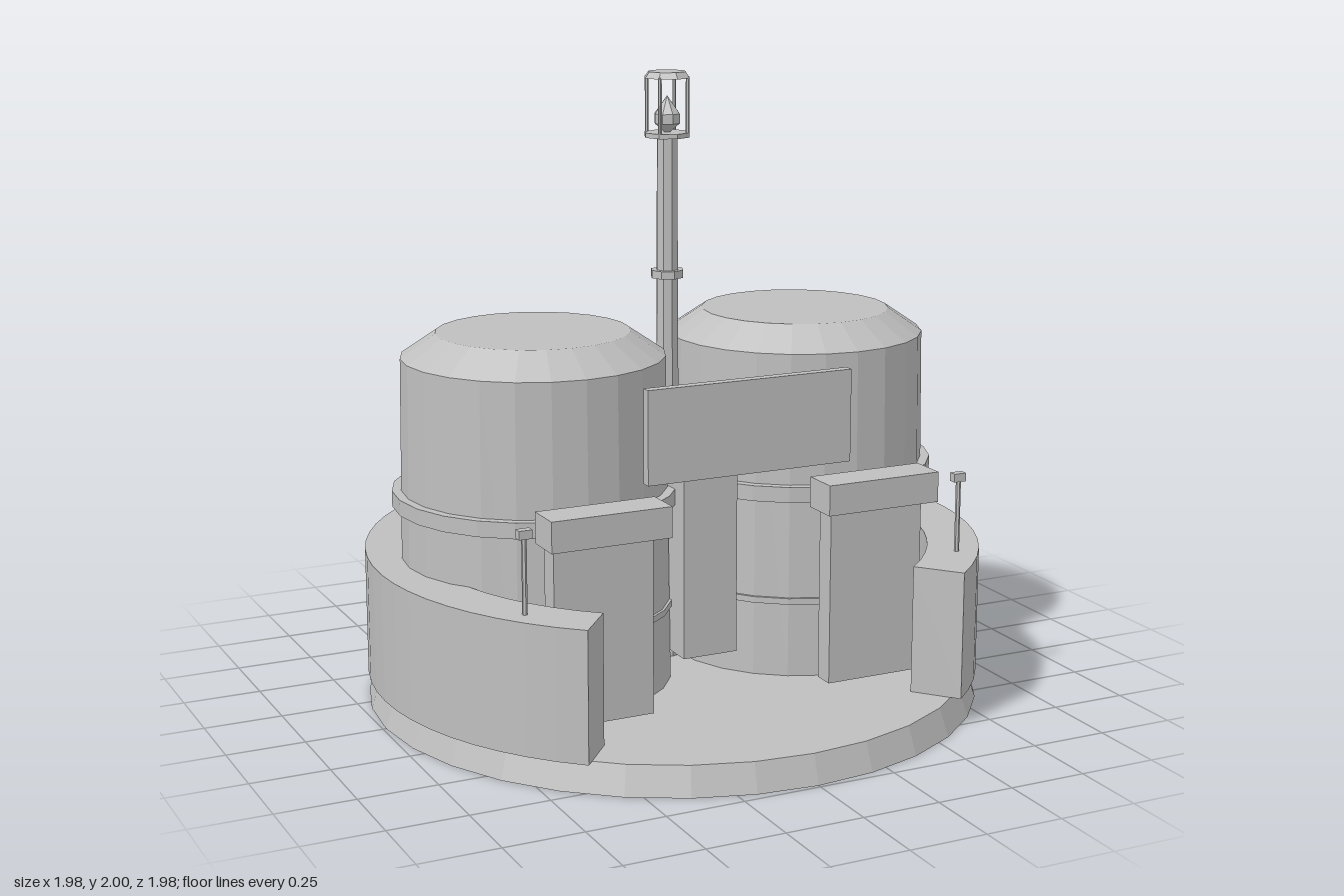
import * as THREE from 'three';

export function createModel() {
  const model = new THREE.Group();
  model.name = 'harbourStation';
  const grey = new THREE.MeshStandardMaterial({ color: 0xbfbfbf });
  grey.name = 'plain grey';
  grey.flatShading = true;
  grey.side = THREE.DoubleSide;

  const add = (name, geometry, x = 0, y = 0, z = 0, parent = model) => {
    const mesh = new THREE.Mesh(geometry, grey);
    mesh.name = name;
    mesh.position.set(x, y, z);
    parent.add(mesh);
    return mesh;
  };
  // Box given by its limits on each axis
  const box = (name, [x0, x1], [y0, y1], [z0, z1], parent = model) =>
    add(name, new THREE.BoxGeometry(x1 - x0, y1 - y0, z1 - z0),
      (x0 + x1) / 2, (y0 + y1) / 2, (z0 + z1) / 2, parent);
  // Turned part from [radius, height] pairs
  const turned = (name, profile, sides, x, z, parent = model) =>
    add(name, new THREE.LatheGeometry(profile.map(([r, y]) => new THREE.Vector2(r, y)), sides), x, 0, z, parent);

  // Flared base, open underneath
  turned('base', [[0.99, 0], [0.96, 0.09], [0, 0.09]], 32, 0, 0);

  // Ring wall with an opening at the front
  const gap = THREE.MathUtils.degToRad(39.8);
  const start = -Math.PI / 2 + gap, end = Math.PI * 1.5 - gap;
  const ring = new THREE.Shape();
  ring.absarc(0, 0, 0.99, start, end, false);
  ring.absarc(0, 0, 0.825, end, start, true);
  ring.closePath();
  const wall = new THREE.ExtrudeGeometry(ring, { depth: 0.41, bevelEnabled: false, curveSegments: 25 });
  wall.rotateX(-Math.PI / 2);
  add('ringWall', wall, 0, 0.09, 0);

  const midZ = -0.035;
  for (const s of [-1, 1]) {
    const side = s > 0 ? 'left' : 'right';
    const span = (a, b) => (s > 0 ? [a, b] : [-b, -a]);

    // Tank with bevelled top and two hoops
    const tank = new THREE.Group();
    tank.name = side + 'Tank';
    tank.position.set(s * 0.464, 0, midZ);
    model.add(tank);
    turned('tankBody', [[0.43, 0.09], [0.415, 1.14], [0.305, 1.215], [0, 1.215]], 24, 0, 0, tank);
    turned('upperHoop', [[0.41, 0.67], [0.45, 0.67], [0.45, 0.72], [0.41, 0.72]], 24, 0, 0, tank);
    turned('lowerHoop', [[0.42, 0.33], [0.435, 0.33], [0.435, 0.35], [0.42, 0.35]], 24, 0, 0, tank);

    // Gate pillar with overhanging cap
    box(side + 'Pillar', span(0.305, 0.63), [0.11, 0.675], [0.435, 0.505]);
    box(side + 'PillarCap', span(0.268, 0.658), [0.675, 0.772], [0.435, 0.56]);

    // Lamp post on the wall
    add(side + 'LampPost', new THREE.CylinderGeometry(0.008, 0.008, 0.24, 6), s * 0.74, 0.615, 0.548);
    box(side + 'LampHead', span(0.718, 0.76), [0.73, 0.757], [0.533, 0.56]);
  }

  // Central column and sign board with rear batten
  box('centralColumn', [-0.093, 0.093], [0.18, 0.87], [-0.36, 0.28]);
  box('signBoard', [-0.343, 0.343], [0.84, 1.13], [0.518, 0.55]);
  box('signBatten', [-0.28, 0.28], [0.97, 1.0], [0.505, 0.518]);

  // Mast with collar
  const mast = new THREE.Group();
  mast.name = 'mast';
  mast.position.z = midZ;
  model.add(mast);
  turned('mastPole', [[0.042, 0.09], [0.034, 1.8]], 8, 0, 0, mast);
  turned('mastCollar', [[0, 1.348], [0.054, 1.348], [0.054, 1.373], [0, 1.373]], 8, 0, 0, mast);

  // Lantern: platform, lamp, four rods and a cap
  turned('lanternPlatform', [[0, 1.795], [0.075, 1.795], [0.075, 1.81], [0, 1.81]], 8, 0, 0, mast);
  turned('lanternLamp', [[0.01, 1.81], [0.042, 1.838], [0.042, 1.868], [0, 1.925]], 8, 0, 0, mast);
  for (let i = 0; i < 4; i++) {
    const a = Math.PI / 4 + i * Math.PI / 2;
    add('lanternRod', new THREE.CylinderGeometry(0.006, 0.006, 0.18, 6),
      0.068 * Math.cos(a), 1.895, 0.068 * Math.sin(a), mast);
  }
  turned('lanternCap', [[0, 1.98], [0.076, 1.98], [0.062, 2], [0, 2]], 8, 0, 0, mast);

  return model;
}
